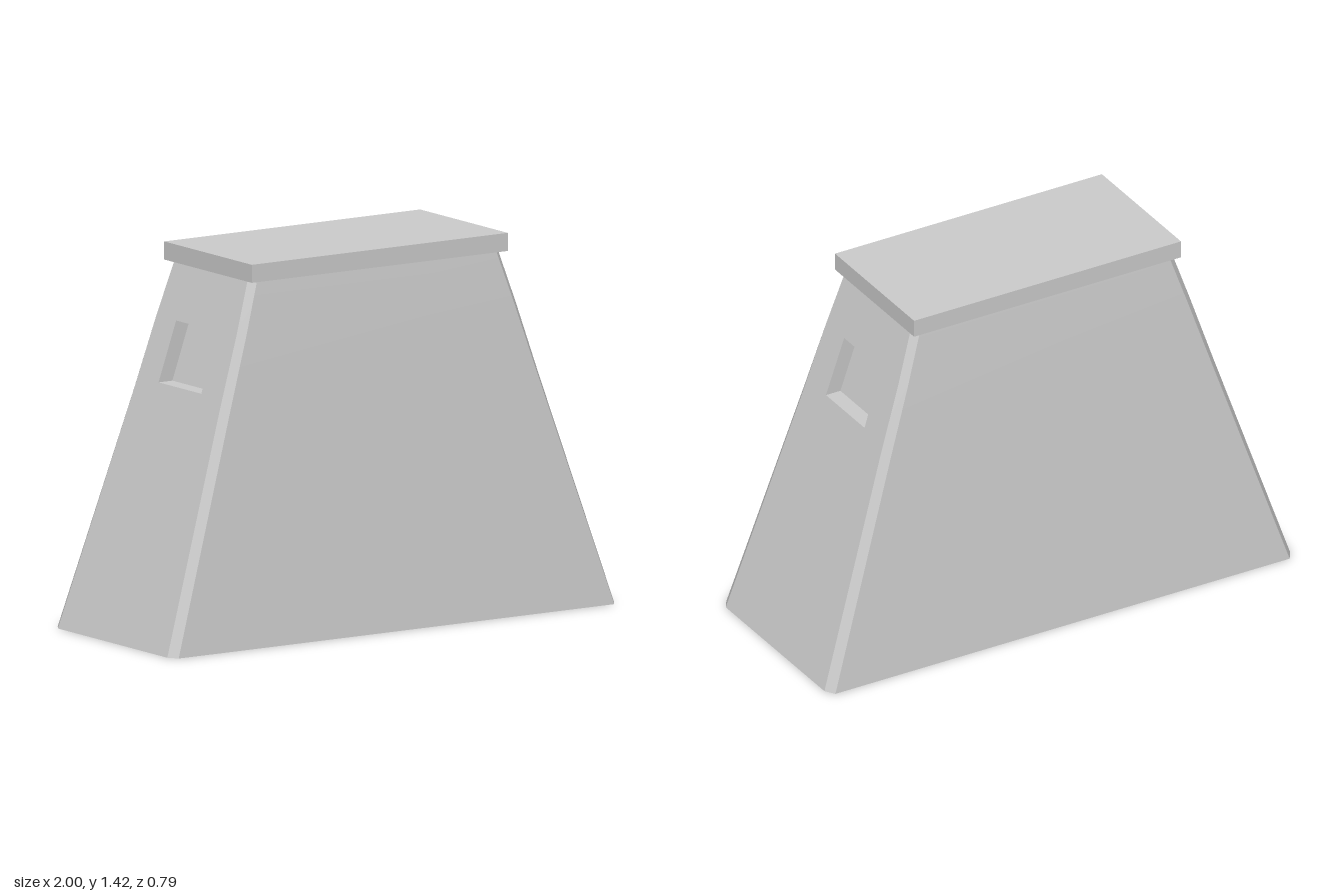
import * as THREE from 'three';
import { toCreasedNormals } from 'three/addons/utils/BufferGeometryUtils.js';

const material = new THREE.MeshStandardMaterial({ color: 0xcccccc, side: THREE.DoubleSide });
const TOP = 1.353;

// Levels of the tapering body: height, half depth, half depth of the end wall
const levels = [
  [0, 0.396, 0.358],
  [0.88, 0.313, 0.28],
  [1.15, 0.29, 0.262],
  [TOP, 0.266, 0.24],
];
const endX = (y) => 1 - 0.325 * y; // the end walls lean inwards evenly
const CHAMFER = 0.025;

// Window opening in an end wall, as [z, y] corners, and its depth
const opening = [[-0.14, 0.927], [0.14, 0.927], [0.132, 1.153], [-0.132, 1.153]];
const DEPTH = 0.062;

function addMesh(parent, name, geometry) {
  const mesh = new THREE.Mesh(geometry, material);
  mesh.name = name;
  parent.add(mesh);
  return mesh;
}

// Flat quads from lists of four corners, counter-clockwise from outside
function quads(list) {
  const points = list.flatMap(([a, b, c, d]) => [a, b, c, a, c, d]);
  const geometry = new THREE.BufferGeometry();
  geometry.setAttribute('position', new THREE.Float32BufferAttribute(points.flat(), 3));
  geometry.computeVertexNormals();
  return geometry;
}

// Long wall with a bevel at each side, lofted through the levels
function longWall() {
  const rows = levels.map(([y, z, zEnd]) => {
    const x = endX(y);
    return [[-x, y, zEnd], [-x + CHAMFER, y, z], [x - CHAMFER, y, z], [x, y, zEnd]];
  });
  const list = [];
  for (let i = 0; i < rows.length - 1; i++) {
    for (let j = 0; j < 3; j++) {
      list.push([rows[i][j], rows[i][j + 1], rows[i + 1][j + 1], rows[i + 1][j]]);
    }
  }
  return toCreasedNormals(quads(list), 0.3);
}

// Leaning end wall with the window cut out
function endWall() {
  const right = levels.map(([y, , z]) => new THREE.Vector2(z, y));
  const left = levels.map(([y, , z]) => new THREE.Vector2(-z, y)).reverse();
  const shape = new THREE.Shape([...right, ...left]);
  shape.holes.push(new THREE.Path(opening.map(([z, y]) => new THREE.Vector2(z, y))));
  const geometry = new THREE.ShapeGeometry(shape);
  const p = geometry.attributes.position;
  for (let i = 0; i < p.count; i++) {
    const u = p.getX(i), y = p.getY(i);
    p.setXYZ(i, endX(y), y, -u);
  }
  geometry.computeVertexNormals();
  return geometry;
}

// Sides and back panel of the window recess
function recess() {
  const outer = opening.map(([u, y]) => [endX(y), y, -u]);
  const inner = outer.map(([x, y, z]) => [x - DEPTH, y, z]);
  const list = [inner];
  for (let i = 0; i < 4; i++) {
    const j = (i + 1) % 4;
    list.push([outer[i], outer[j], inner[j], inner[i]]);
  }
  return quads(list);
}

export function createModel() {
  const model = new THREE.Group();
  model.name = 'taperedTower';

  // Each half carries one long wall and one end wall; the second is turned round
  for (const name of ['frontHalf', 'backHalf']) {
    const half = new THREE.Group();
    half.name = name;
    half.rotation.y = name === 'backHalf' ? Math.PI : 0;
    addMesh(half, 'longWall', longWall());
    addMesh(half, 'endWall', endWall());
    addMesh(half, 'windowRecess', recess());
    model.add(half);
  }

  // Overhanging slab on top
  const cap = addMesh(model, 'capSlab', new THREE.BoxGeometry(1.146, 0.068, 0.574));
  cap.position.y = TOP + 0.034;

  return model;
}
